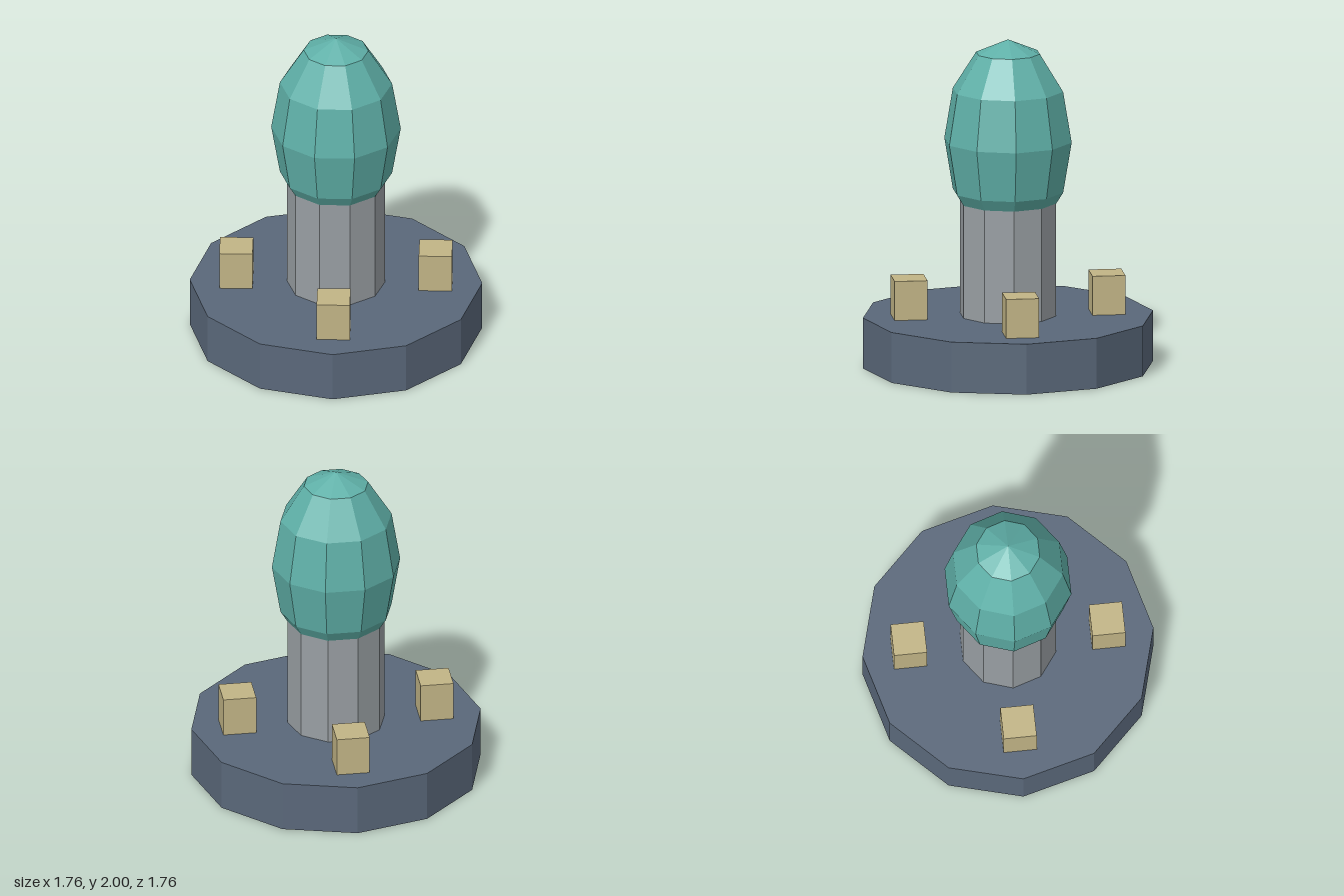
import * as THREE from 'three';

const material = (name, color) => {
  const m = new THREE.MeshStandardMaterial({ color, flatShading: true });
  m.name = name;
  return m;
};

export function createModel() {
  const slate = material('slate', 0x5a687a);
  const grey = material('grey', 0x999fa3);
  const teal = material('teal', 0x5fb0a8);
  const sand = material('sand', 0xc2b586);

  const model = new THREE.Group();
  model.name = 'domedPillar';
  const add = (name, geometry, mat, x, y, z) => {
    const mesh = new THREE.Mesh(geometry, mat);
    mesh.name = name;
    mesh.position.set(x, y, z);
    model.add(mesh);
    return mesh;
  };

  // Twelve-sided base slab
  add('base', new THREE.CylinderGeometry(0.88, 0.88, 0.31, 12), slate, 0, 0.155, 0);

  // Ten-sided column with corners on the x axis
  const column = new THREE.CylinderGeometry(0.295, 0.295, 0.7, 10).rotateY(Math.PI / 2);
  add('column', column, grey, 0, 0.66, 0);

  // Faceted egg-shaped head
  const head = new THREE.SphereGeometry(1, 10, 6).scale(0.39, 0.62, 0.39);
  add('head', head, teal, 0, 1.38, 0);

  // Four blocks around the column
  const block = new THREE.BoxGeometry(0.2, 0.25, 0.2);
  [['left', 1, 0], ['right', -1, 0], ['front', 0, 1], ['back', 0, -1]].forEach(([side, x, z]) =>
    add(`${side}Block`, block, sand, x * 0.6, 0.425, z * 0.6));

  return model;
}
